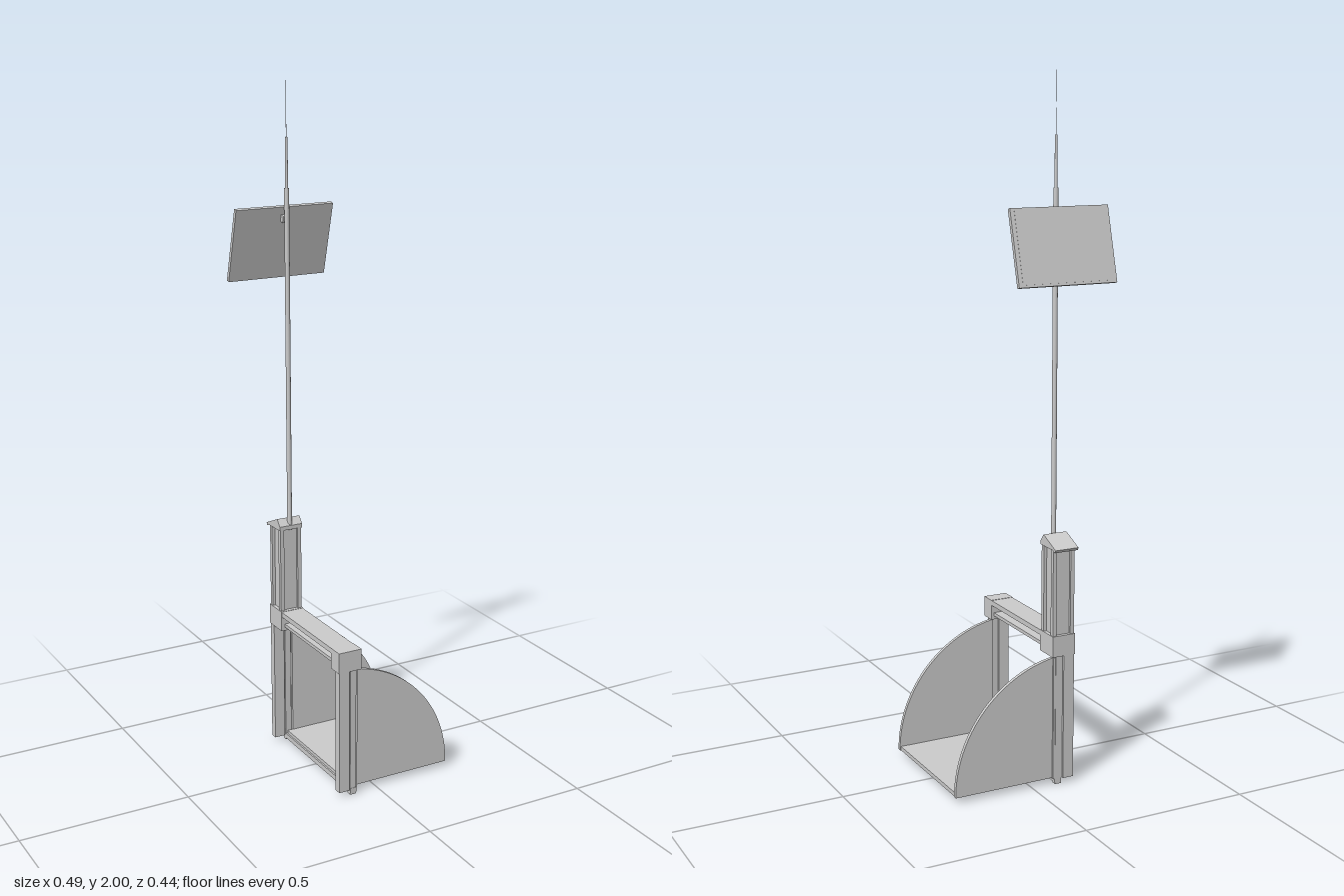
import * as THREE from 'three';

const mat = new THREE.MeshStandardMaterial({ color: 0xcccccc, flatShading: true });
const smooth = new THREE.MeshStandardMaterial({ color: 0xcccccc });

export function createModel() {
  const root = new THREE.Group();

  const add = (name, geo, parent = root, m = mat) => {
    const mesh = new THREE.Mesh(geo, m);
    mesh.name = name;
    parent.add(mesh);
    return mesh;
  };
  // Box from its minimum and maximum on each axis
  const box = (name, x0, x1, y0, y1, z0, z1, parent = root) =>
    add(name, new THREE.BoxGeometry(x1 - x0, y1 - y0, z1 - z0), parent)
      .position.set((x0 + x1) / 2, (y0 + y1) / 2, (z0 + z1) / 2);
  const rod = (name, r0, r1, y0, y1, parent) => {
    const m = add(name, new THREE.CylinderGeometry(r1, r0, y1 - y0, 16), parent, smooth);
    m.position.y = (y0 + y1) / 2;
  };

  // Quarter-round side plates, pivoting about the foot of the legs
  const cx = -0.125, cy = 0.018, r = 0.366;
  const quarter = new THREE.Shape();
  const start = Math.acos((-0.068 - cx) / r);
  quarter.moveTo(-0.068, cy);
  quarter.lineTo(cx + r, cy);
  quarter.absarc(cx, cy, r, 0, start, false);
  quarter.closePath();
  const plateGeo = new THREE.ExtrudeGeometry(quarter, { depth: 0.011, bevelEnabled: false, curveSegments: 24 });
  add('frontSidePlate', plateGeo).position.z = 0.188;
  add('backSidePlate', plateGeo).position.z = -0.193;

  // Platform and the sill beneath it
  box('platform', -0.085, 0.238, 0.018, 0.03, -0.183, 0.189);
  box('sill', -0.09, -0.07, 0.005, 0.02, -0.2, 0.215);

  // Two legs, each an outer upright with a guide rail
  for (const [name, z0, z1, g0, g1] of [
    ['front', 0.195, 0.217, 0.199, 0.214],
    ['back', -0.205, -0.184, -0.2, -0.186],
  ]) {
    const leg = new THREE.Group();
    leg.name = name + 'Leg';
    root.add(leg);
    box('upright', -0.127, -0.094, 0.016, 0.39, z0, z1, leg);
    box('guideRail', -0.09, -0.071, 0, 0.39, g0, g1, leg);
    box('web', -0.094, -0.065, 0.016, 0.39, (z0 + z1) / 2 - 0.004, (z0 + z1) / 2 + 0.004, leg);
  }

  // Collars joined by an open crossbeam
  box('frontCollar', -0.129, -0.057, 0.385, 0.446, 0.173, 0.219);
  box('backCollar', -0.129, -0.057, 0.385, 0.446, -0.207, -0.131);
  box('beamTop', -0.128, -0.058, 0.43, 0.445, -0.135, 0.175);
  box('beamBottom', -0.118, -0.066, 0.396, 0.406, -0.135, 0.175);

  // Tower: core with four corner posts
  const tower = new THREE.Group();
  tower.name = 'tower';
  root.add(tower);
  box('core', -0.118, -0.068, 0.44, 0.7, -0.196, -0.143, tower);
  for (const x of [-0.127, -0.071])
    for (const z of [-0.203, -0.149])
      box('cornerPost', x, x + 0.012, 0.44, 0.7, z, z + 0.013, tower);

  // Sloping roof, profile drawn in z and y
  const roof = new THREE.Shape([
    [-0.133, 0.698], [-0.133, 0.71], [-0.15, 0.73], [-0.219, 0.7],
    [-0.215, 0.692], [-0.203, 0.697],
  ].map(([z, y]) => new THREE.Vector2(z, y)));
  const roofGeo = new THREE.ExtrudeGeometry(roof, { depth: 0.073, bevelEnabled: false });
  roofGeo.rotateY(-Math.PI / 2);
  add('roof', roofGeo).position.x = -0.057;

  // Stepped mast ending in a needle
  const mast = new THREE.Group();
  mast.name = 'mast';
  mast.position.set(-0.094, 0, -0.141);
  root.add(mast);
  rod('lowerMast', 0.007, 0.007, 0.695, 1.69, mast);
  rod('upperMast', 0.0045, 0.0035, 1.69, 1.83, mast);
  rod('needle', 0.0008, 0.0004, 1.83, 2, mast);

  // Tilted panel with its framed face towards the back and up
  const panel = new THREE.Group();
  panel.name = 'tiltedPanel';
  panel.position.set(-0.094, 1.536, -0.184);
  panel.rotation.x = 0.262;
  root.add(panel);
  box('panelBoard', -0.151, 0.151, -0.107, 0.107, -0.0055, 0.0065, panel);
  box('panelFace', -0.139, 0.139, -0.1, 0.1, -0.0062, -0.0045, panel);
  box('panelClip', -0.01, 0.01, 0.065, 0.085, 0.005, 0.02, panel);

  return root;
}
